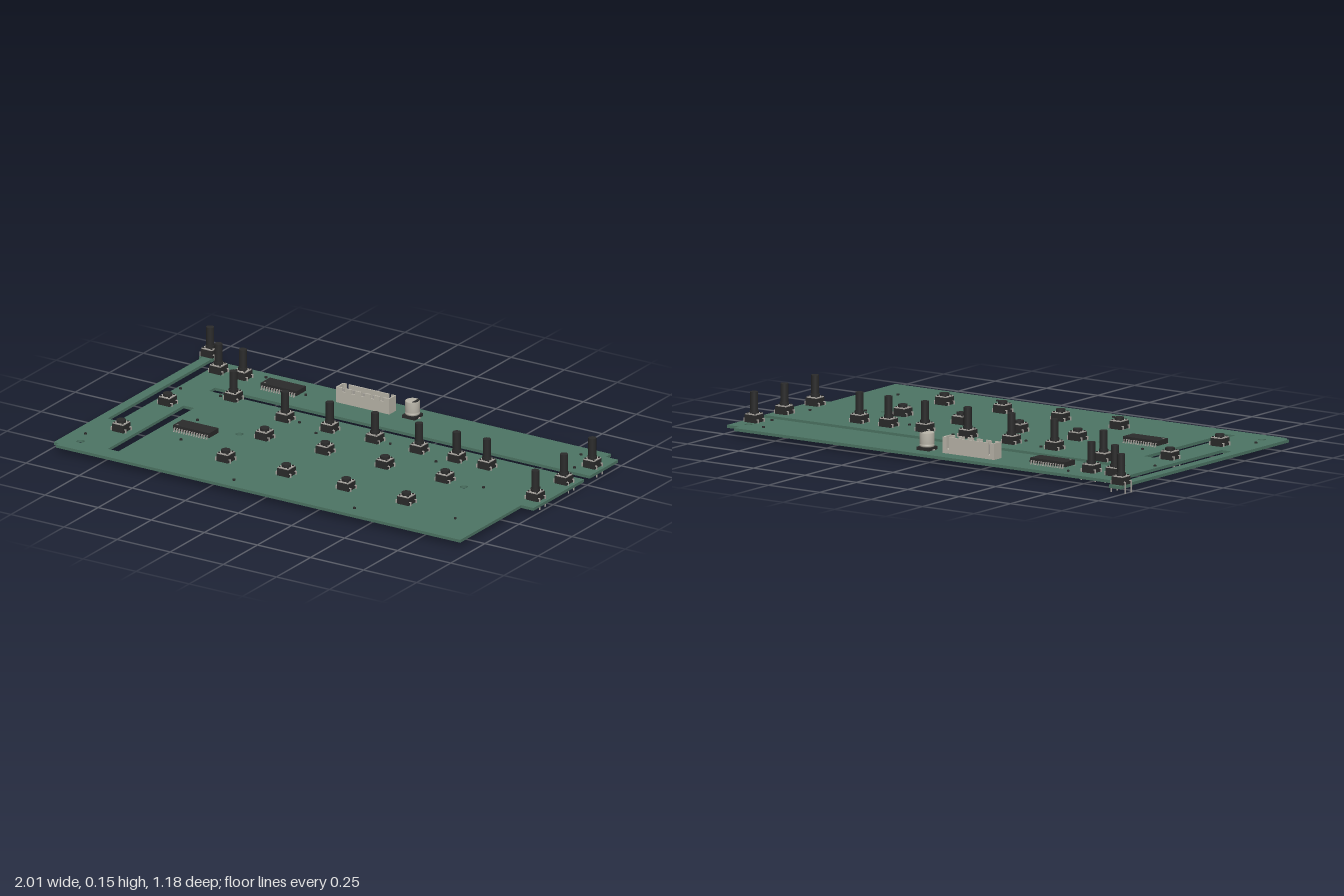
import * as THREE from 'three';

const BOTTOM = 0.024, TOP = 0.036;

function material(name, color) {
  const m = new THREE.MeshStandardMaterial({ color });
  m.name = name;
  return m;
}

export function createModel() {
  const root = new THREE.Group();
  root.name = 'circuitBoard';
  const green = material('boardGreen', 0x4d7564);
  const black = material('black', 0x2b2b2b);
  const metal = material('metal', 0xaaa6a0);
  const cream = material('cream', 0xbab6aa);

  const add = (parent, name, geo, mat, x = 0, y = 0, z = 0) => {
    const mesh = new THREE.Mesh(geo, mat);
    mesh.name = name;
    mesh.position.set(x, y, z);
    parent.add(mesh);
    return mesh;
  };
  // Box placed by its lower and upper heights
  const block = (parent, name, mat, x, z, w, d, y0, y1) =>
    add(parent, name, new THREE.BoxGeometry(w, y1 - y0, d), mat, x, (y0 + y1) / 2, z);
  const post = (parent, name, mat, x, z, r, y0, y1, sides = 20) =>
    add(parent, name, new THREE.CylinderGeometry(r, r, y1 - y0, sides), mat, x, (y0 + y1) / 2, z);
  const group = (name, x, z) => {
    const g = new THREE.Group();
    g.name = name;
    g.position.set(x, 0, z);
    root.add(g);
    return g;
  };

  // Board outline in x, z, with the open slots cut into its edge
  const points = (list) => list.map(([x, z]) => new THREE.Vector2(x, -z));
  const outline = new THREE.Shape(points([
    [-0.962, 0.59], [0.942, 0.59], [0.942, 0.143], [1, 0.143], [1, -0.227],
    [-0.765, -0.227], [-0.765, -0.27], [1, -0.27], [1, -0.478], [0.942, -0.478],
    [0.942, -0.515], [-0.893, -0.515], [-0.893, 0.24], [-0.943, 0.24], [-0.943, -0.518],
    [-0.94, -0.518], [-0.94, -0.595], [-1, -0.595], [-1, -0.518], [-0.985, -0.518],
    [-0.985, 0.57], [-0.962, 0.57],
  ]));
  outline.holes.push(new THREE.Path(points([
    [-0.765, -0.04], [-0.715, -0.04], [-0.715, 0.516], [-0.765, 0.516],
  ])));
  for (const [x, z] of [[-0.412, 0.1], [0.644, 0.1], [-0.9, 0.506], [0.937, -0.42]]) {
    outline.holes.push(new THREE.Path().absarc(x, -z, 0.016, 0, Math.PI * 2, true));
  }
  const boardGeo = new THREE.ExtrudeGeometry(outline, {
    depth: TOP - BOTTOM, bevelEnabled: false, curveSegments: 20,
  });
  boardGeo.rotateX(-Math.PI / 2);
  add(root, 'board', boardGeo, green, 0, BOTTOM, 0);

  // Push switches, short or with a tall shaft
  function pushSwitch(x, z, tall) {
    const g = group(tall ? 'tallSwitch' : 'shortSwitch', x, z);
    block(g, 'switchBody', black, 0, 0, 0.054, 0.054, TOP, 0.067);
    block(g, 'switchPlate', metal, 0, 0, 0.05, 0.05, 0.067, 0.071);
    post(g, 'switchCollar', black, 0, 0, 0.019, 0.071, 0.082);
    if (tall) post(g, 'switchShaft', black, 0, 0, 0.016, 0.082, 0.158);
    for (const sx of [-1, 1]) for (const sz of [-1, 1]) {
      post(g, 'switchRivet', black, sx * 0.019, sz * 0.019, 0.004, 0.071, 0.074, 8);
      block(g, 'switchLegTop', metal, sx * 0.031, sz * 0.02, 0.009, 0.006, 0.048, 0.051);
      block(g, 'switchLeg', metal, sx * 0.034, sz * 0.02, 0.003, 0.006, 0.003, 0.048);
    }
  }
  const tallSpots = [
    [-0.97, -0.553], [-0.845, -0.42], [-0.73, -0.42], [-0.635, -0.203],
    [0.952, -0.362], [0.952, -0.155], [0.952, 0.055],
  ];
  for (const x of [-0.343, -0.133, 0.08, 0.288, 0.465, 0.607]) tallSpots.push([x, -0.127]);
  for (const [x, z] of tallSpots) pushSwitch(x, z, true);

  const shortSpots = [[-0.83, -0.023], [-0.83, 0.317]];
  for (const x of [-0.305, -0.02, 0.262, 0.545]) shortSpots.push([x, 0.083], [x, 0.367]);
  for (const [x, z] of shortSpots) pushSwitch(x, z, false);

  // Chips with a row of bent legs on each long side
  for (const [x, z] of [[-0.522, -0.392], [-0.568, 0.177]]) {
    const g = group('chip', x, z);
    block(g, 'chipBody', black, 0, 0, 0.17, 0.068, 0.041, 0.061);
    post(g, 'chipMark', metal, -0.073, 0.02, 0.004, 0.061, 0.0615, 10);
    for (let i = 0; i < 14; i++) for (const s of [-1, 1]) {
      const px = (i - 6.5) * 0.0118;
      block(g, 'chipLegTop', metal, px, s * 0.036, 0.004, 0.006, 0.048, 0.051);
      block(g, 'chipLeg', metal, px, s * 0.039, 0.004, 0.003, TOP, 0.051);
      block(g, 'chipFoot', metal, px, s * 0.042, 0.004, 0.007, TOP, 0.039);
    }
  }

  // Header connector: open tray with notched walls and a row of pins
  const header = group('connector', -0.152, -0.423);
  block(header, 'connectorFloor', cream, 0, 0, 0.25, 0.05, TOP, 0.052);
  block(header, 'connectorBackWall', cream, 0, -0.022, 0.19, 0.006, 0.052, 0.102);
  block(header, 'connectorFrontWall', cream, 0, 0.022, 0.25, 0.006, 0.052, 0.085);
  for (let i = 0; i < 6; i++) {
    block(header, 'connectorTooth', cream, (i - 2.5) * 0.0445, 0.022, 0.027, 0.006, 0.085, 0.102);
  }
  for (const s of [-1, 1]) {
    block(header, 'connectorEnd', cream, s * 0.122, 0, 0.006, 0.05, 0.052, 0.102);
    block(header, 'connectorBackCorner', cream, s * 0.114, -0.022, 0.016, 0.006, 0.052, 0.102);
  }
  for (let i = 0; i < 10; i++) {
    block(header, 'connectorPin', metal, (i - 4.5) * 0.0235, 0, 0.006, 0.006, 0.008, 0.09);
  }

  // Can capacitor on a square base
  const can = group('capacitor', 0.064, -0.427);
  block(can, 'capacitorBase', black, 0, 0, 0.06, 0.06, TOP, 0.049);
  const r = 0.03;
  const canProfile = [[0, 0.049], [r - 0.003, 0.049], [r, 0.052], [r, 0.058], [r - 0.003, 0.061],
    [r, 0.064], [r, 0.104], [r - 0.003, 0.107], [0, 0.107]];
  add(can, 'capacitorCan', new THREE.LatheGeometry(
    canProfile.map(([x, y]) => new THREE.Vector2(x, y)), 28), cream);
  const segment = new THREE.Shape().absarc(0, 0, 0.027, -1.15, 1.15, false);
  const mark = new THREE.ExtrudeGeometry(segment, { depth: 0.001, bevelEnabled: false });
  mark.rotateX(-Math.PI / 2);
  add(can, 'capacitorMark', mark, black, 0, 0.107, 0);
  for (const s of [-1, 1]) block(can, 'capacitorFoot', metal, s * 0.032, 0, 0.008, 0.01, TOP, 0.04);

  // Small surface dots scattered over the board
  for (const [x, z] of [
    [-0.652, -0.468], [-0.417, -0.393], [-0.872, -0.184], [-0.695, -0.2], [-0.278, -0.13],
    [0.15, -0.13], [-0.16, -0.067], [0.406, -0.067], [-0.631, 0.067], [0.716, 0.067],
    [-0.572, 0.28], [-0.925, 0.43], [-0.16, 0.532], [0.406, 0.532], [0.802, 0.409],
    [0.85, -0.44], [0.903, -0.308], [0.903, -0.05],
  ]) post(root, 'surfaceDot', black, x, z, 0.006, TOP, 0.042, 10);

  return root;
}
